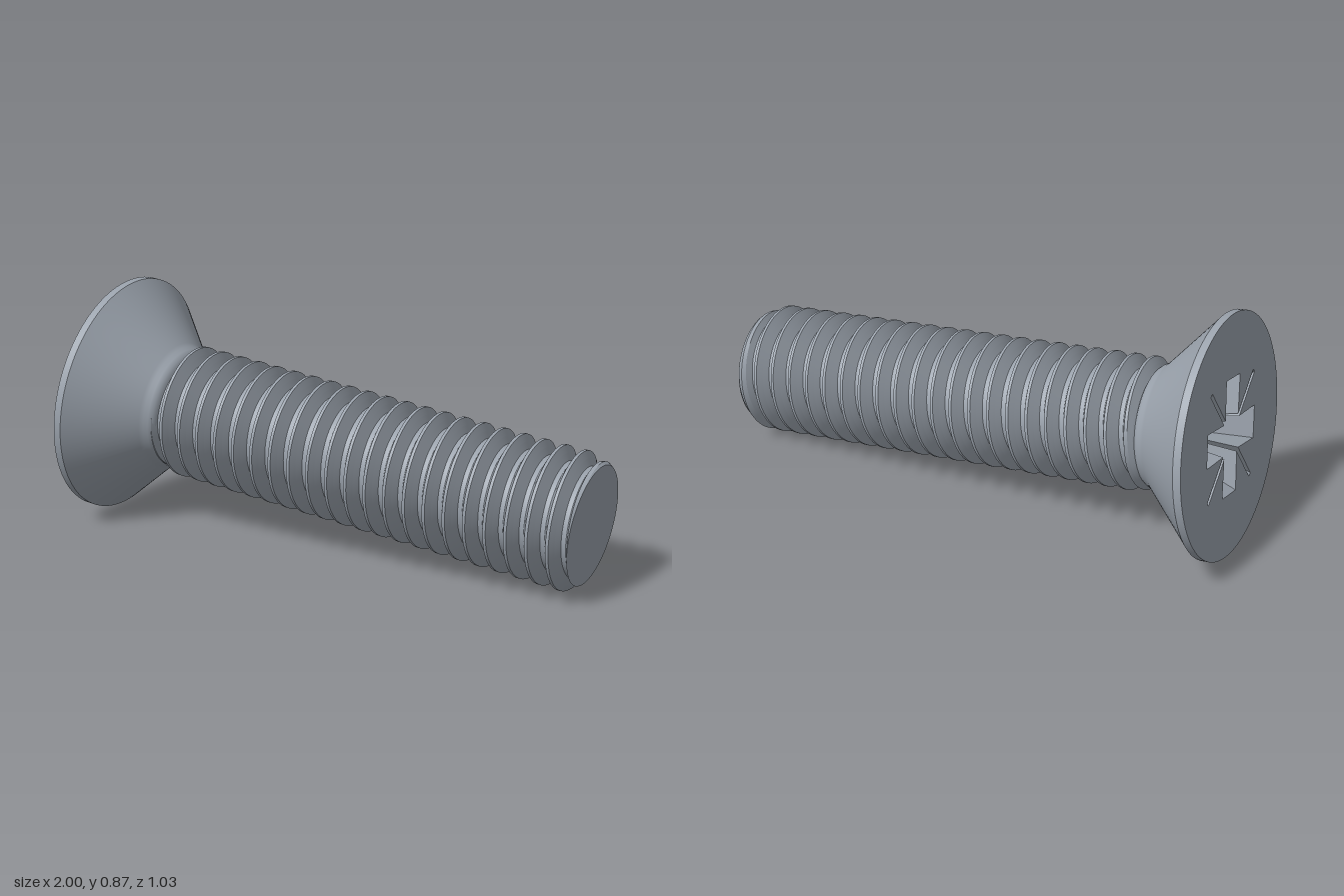
import * as THREE from 'three';
import { toCreasedNormals } from 'three/addons/utils/BufferGeometryUtils.js';

const LENGTH = 1.903, HEAD_R = 0.437, PITCH = 0.0759;
const CREST = 0.24, ROOT = 0.192, THREAD_START = 0.25, TIP_R = 0.21;

// Outline of the cross socket with four thin diagonal slots
function socketOutline(arm, half, inner, outer, slot) {
  const pts = [], k = Math.SQRT1_2;
  for (let i = 0; i < 4; i++) {
    const diag = (r, n) => [k * (r - n), k * (r + n)];
    const quarter = [[arm, -half], [arm, half], diag(inner, -slot), diag(outer, -slot), diag(outer, slot), diag(inner, slot)];
    for (const [x, y] of quarter) {
      pts.push(new THREE.Vector2(x, y).rotateAround(new THREE.Vector2(), i * Math.PI / 2));
    }
  }
  return pts;
}

// Sloping walls between the socket's rim and its floor
function socketWalls(rim, floor, depth) {
  const pos = [];
  rim.forEach((a, i) => {
    const j = (i + 1) % rim.length, b = rim[j], c = floor[i], d = floor[j];
    pos.push(a.x, 0, a.y, b.x, 0, b.y, c.x, depth, c.y);
    pos.push(b.x, 0, b.y, d.x, depth, d.y, c.x, depth, c.y);
  });
  const geo = new THREE.BufferGeometry();
  geo.setAttribute('position', new THREE.Float32BufferAttribute(pos, 3));
  geo.computeVertexNormals();
  return geo;
}

// Right-handed helical thread, tapered into the neck and chamfered at the tip
function threadGeometry() {
  const mid = (CREST + ROOT) / 2;
  const profile = [[-0.5, ROOT], [-0.39, ROOT], [-0.23, mid], [-0.07, CREST], [0.07, CREST], [0.23, mid], [0.39, ROOT], [0.5, ROOT]];
  const perTurn = 72, first = -2 * perTurn, last = 23 * perTurn;
  const pos = [], index = [];
  for (let v = 0; v < profile.length - 1; v++) {
    const base = pos.length / 3;
    for (let u = first; u <= last; u++) {
      const angle = u / perTurn * Math.PI * 2;
      for (const [offset, radius] of [profile[v], profile[v + 1]]) {
        const s = THREE.MathUtils.clamp(0.308 + PITCH * (u / perTurn + offset), THREE_MIN, LENGTH);
        const r = Math.min(radius, 0.2 + (s - THREAD_START), TIP_R + (LENGTH - s) * 0.7);
        pos.push(-Math.cos(angle) * r, s, Math.sin(angle) * r);
      }
      if (u < last) {
        const a = base + (u - first) * 2;
        index.push(a, a + 2, a + 1, a + 2, a + 3, a + 1);
      }
    }
  }
  const geo = new THREE.BufferGeometry();
  geo.setAttribute('position', new THREE.Float32BufferAttribute(pos, 3));
  geo.setIndex(index);
  geo.computeVertexNormals();
  return geo;
}
const THREE_MIN = THREAD_START;

export function createModel() {
  const group = new THREE.Group();
  const steel = new THREE.MeshStandardMaterial({ color: 0x9ba3ad });
  steel.name = 'steel';
  const screw = new THREE.Group();
  screw.name = 'screw';
  const add = (name, geo) => {
    const mesh = new THREE.Mesh(geo, steel);
    mesh.name = name;
    screw.add(mesh);
    return mesh;
  };

  // Countersunk head with rim, cone and rounded neck
  const headProfile = [[HEAD_R, 0], [HEAD_R, 0.028], [0.238, 0.227], [0.228, 0.24], [0.221, 0.255], [0.212, 0.268], [0.198, 0.276], [0.185, 0.28]]
    .map(([r, s]) => new THREE.Vector2(r, s));
  add('head', toCreasedNormals(new THREE.LatheGeometry(headProfile, 96), 0.6));

  // Flat head face pierced by the drive socket
  const depth = 0.2;
  const rim = socketOutline(0.21, 0.06, 0.088, 0.27, 0.008);
  const floor = socketOutline(0.11, 0.035, 0.05, 0.055, 0.004);
  const face = new THREE.Shape().absarc(0, 0, HEAD_R, 0, Math.PI * 2);
  face.holes.push(new THREE.Path(rim));
  add('headFace', new THREE.ShapeGeometry(face, 48).rotateX(Math.PI / 2));
  add('socketWalls', socketWalls(rim, floor, depth));
  add('socketFloor', new THREE.ShapeGeometry(new THREE.Shape(floor)).rotateX(Math.PI / 2)).position.y = depth;

  // Threaded shank and its flat end
  add('thread', threadGeometry());
  add('tip', new THREE.CircleGeometry(TIP_R, 72).rotateX(-Math.PI / 2)).position.y = LENGTH;

  // Lay the screw down, resting on its head and tip
  const axis = new THREE.Vector3(0.9747, -0.1025, 0.199).normalize();
  screw.quaternion.setFromUnitVectors(new THREE.Vector3(0, 1, 0), axis);
  screw.position.set(-0.902, 0.438, -0.091);
  group.add(screw);
  return group;
}
